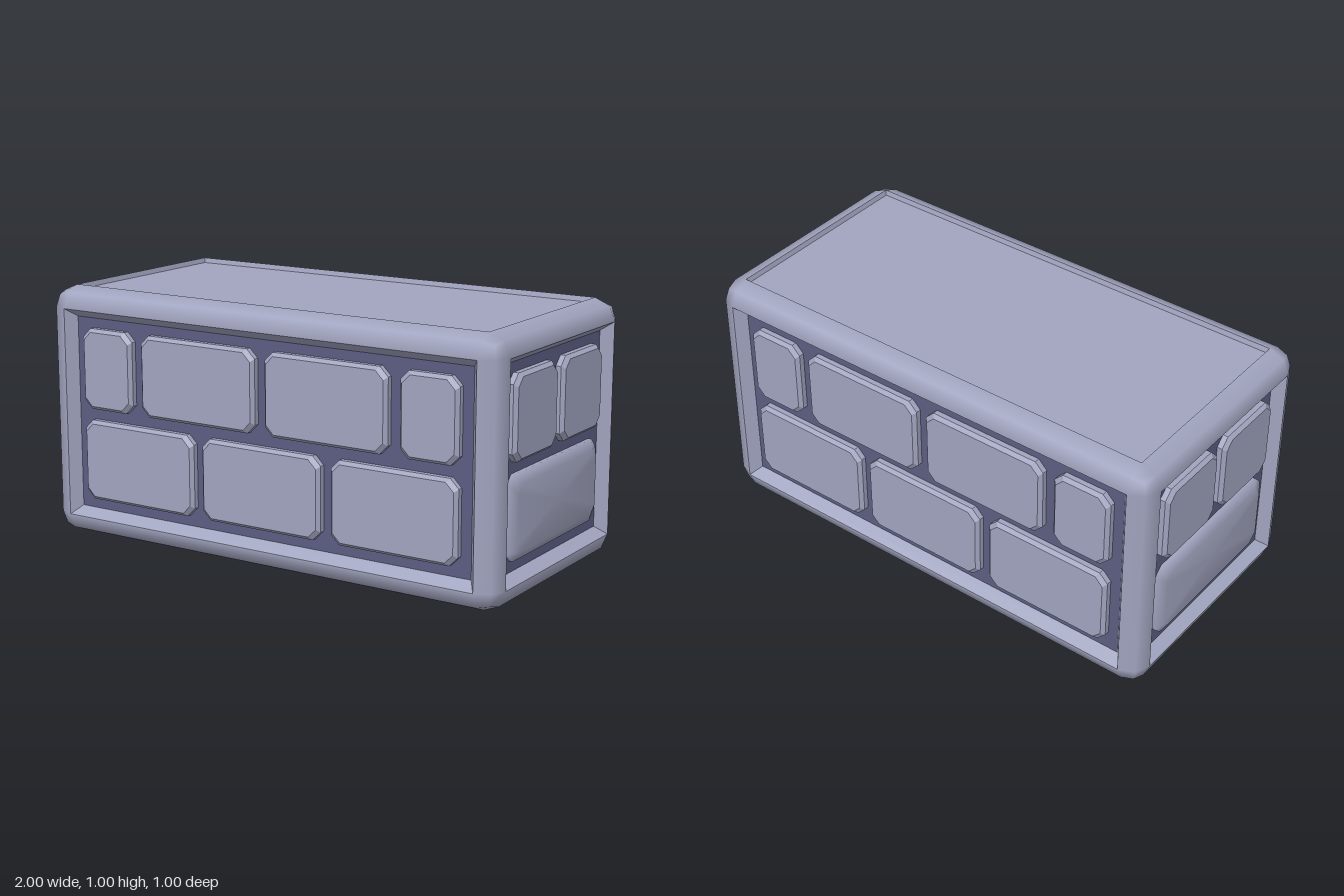
import * as THREE from 'three';
import { mergeVertices } from 'three/addons/utils/BufferGeometryUtils.js';
import { RoundedBoxGeometry } from 'three/addons/geometries/RoundedBoxGeometry.js';

const stoneMat = new THREE.MeshStandardMaterial({ color: 0xa2a5c0 });
stoneMat.name = 'pale stone';
const mortarMat = new THREE.MeshStandardMaterial({ color: 0x5c5e82 });
mortarMat.name = 'dark mortar';

const R = 0.085;       // frame edge radius
const RECESS = 0.045;  // depth of the mortar behind the frame
const HEIGHT = 0.035;  // stone thickness

// Counter-clockwise rectangle with clipped corners (cut 0 gives a plain rectangle)
function outline(w, h, cut, z) {
  const x = w / 2, y = h / 2;
  const pts = cut
    ? [[-x + cut, -y], [x - cut, -y], [x, -y + cut], [x, y - cut], [x - cut, y], [-x + cut, y], [-x, y - cut], [-x, -y + cut]]
    : [[-x, -y], [x, -y], [x, y], [-x, y]];
  return pts.map(([a, b]) => [a, b, z]);
}

// Joins successive outlines and optionally caps the last one
function loft(rings, cap, smooth) {
  const pos = [];
  const tri = (...pts) => pts.forEach((p) => pos.push(...p));
  const n = rings[0].length;
  for (let r = 0; r < rings.length - 1; r++) {
    for (let i = 0; i < n; i++) {
      const j = (i + 1) % n, a = rings[r], b = rings[r + 1];
      tri(a[i], a[j], b[j]);
      tri(a[i], b[j], b[i]);
    }
  }
  if (cap) {
    const last = rings[rings.length - 1];
    for (let i = 0; i < n; i++) tri(last[i], last[(i + 1) % n], [0, 0, last[0][2]]);
  }
  let geo = new THREE.BufferGeometry();
  geo.setAttribute('position', new THREE.Float32BufferAttribute(pos, 3));
  if (smooth) geo = mergeVertices(geo);
  geo.computeVertexNormals();
  return geo;
}

function addMesh(parent, name, geo, mat) {
  const mesh = new THREE.Mesh(geo, mat);
  mesh.name = name;
  parent.add(mesh);
  return mesh;
}

// Rounded outer shell with the flat middle of each side left open
function frameGeometry() {
  const src = new RoundedBoxGeometry(2, 1, 1, 1, R);
  const box = src.index ? src.toNonIndexed() : src;
  const p = box.attributes.position, q = box.attributes.normal;
  const pos = [], nor = [];
  const onFace = (i) => Math.max(Math.abs(q.getX(i)), Math.abs(q.getY(i)), Math.abs(q.getZ(i))) > 0.999;
  for (let i = 0; i < p.count; i += 3) {
    const flat = onFace(i) && onFace(i + 1) && onFace(i + 2);
    if (flat) continue;
    for (let k = i; k < i + 3; k++) {
      pos.push(p.getX(k), p.getY(k), p.getZ(k));
      nor.push(q.getX(k), q.getY(k), q.getZ(k));
    }
  }
  const geo = new THREE.BufferGeometry();
  geo.setAttribute('position', new THREE.Float32BufferAttribute(pos, 3));
  geo.setAttribute('normal', new THREE.Float32BufferAttribute(nor, 3));
  return geo;
}

// Recessed panel set in an opening, facing +z with the frame surface at z = 0
function panel(name, w, h, inset, depth, mat) {
  const group = new THREE.Group();
  group.name = name;
  const inner = [w - 2 * inset, h - 2 * inset];
  addMesh(group, 'rim', loft([outline(w, h, 0, 0), outline(...inner, 0, -depth)], false), stoneMat);
  addMesh(group, 'backing', new THREE.PlaneGeometry(...inner), mat).position.z = -depth;
  return group;
}

// One bevelled stone spanning x0..x1, y0..y1 on the mortar
function addStone(wall, [x0, x1, y0, y1, soft]) {
  const w = x1 - x0, h = y1 - y0, bevel = soft ? 0.035 : 0.013;
  const geo = loft([
    outline(w, h, 0.035, 0),
    outline(w, h, 0.035, HEIGHT * (soft ? 0.4 : 0.6)),
    outline(w - 2 * bevel, h - 2 * bevel, 0.033, HEIGHT),
  ], true, soft);
  addMesh(wall, 'stone', geo, stoneMat).position.set((x0 + x1) / 2, (y0 + y1) / 2, -RECESS);
}

const UPPER = [0.025, 0.345], LOWER = [-0.34, -0.02];
const longStones = [
  ...[[-0.84, -0.6], [-0.555, -0.025], [0.02, 0.55], [0.6, 0.84]].map((s) => [...s, ...UPPER]),
  ...[[-0.84, -0.31], [-0.27, 0.265], [0.31, 0.84]].map((s) => [...s, ...LOWER]),
];
const endStones = [
  [-0.345, -0.02, ...UPPER],
  [0.02, 0.345, ...UPPER],
  [-0.345, 0.345, ...LOWER, true],
];

export function createModel() {
  const model = new THREE.Group();
  model.name = 'stoneBlock';
  const body = new THREE.Group();
  body.name = 'body';
  body.position.y = 0.5;
  model.add(body);

  addMesh(body, 'frame', frameGeometry(), stoneMat);

  const long = 2 - 2 * R, short = 1 - 2 * R;

  // Stone walls around the four sides
  ['frontWall', 'leftWall', 'backWall', 'rightWall'].forEach((name, i) => {
    const isEnd = i % 2 === 1;
    const wall = panel(name, isEnd ? short : long, short, 0.032, RECESS, mortarMat);
    (isEnd ? endStones : longStones).forEach((s) => addStone(wall, s));
    const angle = (i * Math.PI) / 2, dist = isEnd ? 1 : 0.5;
    wall.rotation.y = angle;
    wall.position.set(Math.sin(angle) * dist, 0, Math.cos(angle) * dist);
    body.add(wall);
  });

  // Plain slabs on top and underneath
  for (const side of [1, -1]) {
    const slab = panel(side > 0 ? 'topSlab' : 'bottomSlab', long, short, 0.005, 0.02, stoneMat);
    slab.rotation.x = (-side * Math.PI) / 2;
    slab.position.y = side * 0.5;
    body.add(slab);
  }
  return model;
}
